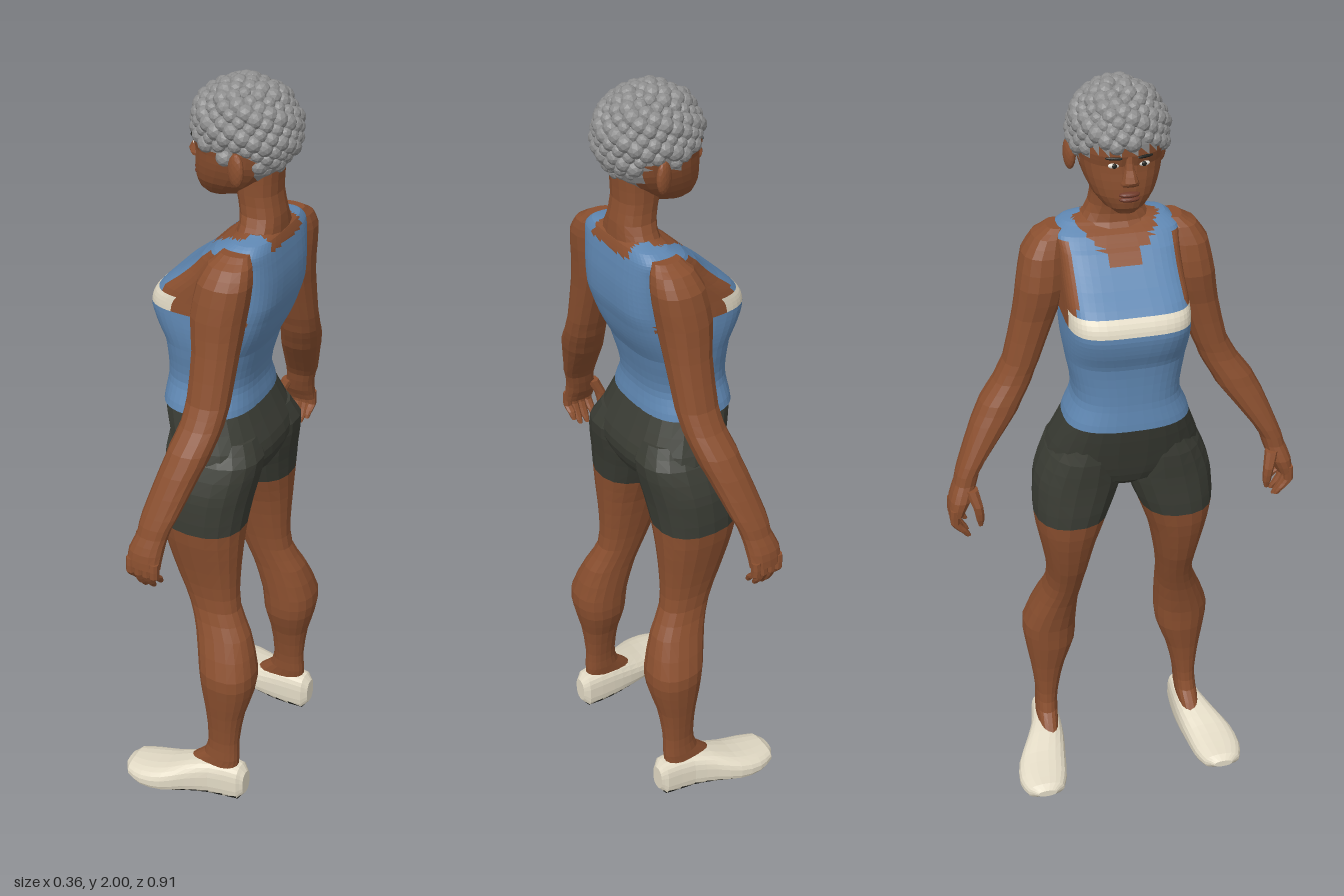
import * as THREE from 'three';
import { mergeGeometries } from 'three/addons/utils/BufferGeometryUtils.js';

const mat = (name, color) => {
  const m = new THREE.MeshStandardMaterial({ color });
  m.name = name;
  return m;
};
const skin = mat('skin', 0x8a4f2f), shirt = mat('blue shirt', 0x5f87b2), shorts = mat('dark shorts', 0x3a3c34);
const hair = mat('grey hair', 0x8e8e8e), cream = mat('cream', 0xe2dac5), sole = mat('black sole', 0x22231f);
const lip = mat('lips', 0x6f3a2a), white = mat('eye white', 0xe8e4dc);

const power = (v, p) => Math.sign(v) * Math.pow(Math.abs(v), 2 / p);

// Smooth in-between sections, passing through every given section.
function refine(rows, sub) {
  const out = [];
  for (let i = 0; i < rows.length - 1; i++) {
    const a = rows[Math.max(i - 1, 0)], b = rows[i], c = rows[i + 1], d = rows[Math.min(i + 2, rows.length - 1)];
    for (let k = 0; k < sub; k++) {
      const t = k / sub;
      out.push(b.map((v, j) => {
        if (j === 0) return v + (c[j] - v) * t;
        const quad = 2 * a[j] - 5 * v + 4 * c[j] - d[j];
        const cubic = 3 * v - a[j] - 3 * c[j] + d[j];
        return v + 0.5 * t * (c[j] - a[j] + t * (quad + t * cubic));
      }));
    }
  }
  out.push(rows[rows.length - 1]);
  return out;
}

// Faceted closed loft. Each section: [position, min, max, zMin, zMax, squareness].
// paint(x, y, |z|) picks the material of a face; along 'x' sections run heel to toe.
function loft(name, sections, { sides = 16, sub = 2, paint = () => skin, mirror = 1, axis = 'y' } = {}) {
  const rows = refine(sections.map(r => r.length < 6 ? [...r, 2.3] : r), sub);
  const place = (s, u, z) => axis === 'y' ? new THREE.Vector3(u, s, z * mirror) : new THREE.Vector3(s, u, z * mirror);
  const rings = rows.map(([s, u0, u1, z0, z1, p]) => Array.from({ length: sides }, (_, i) => {
    const t = (i + 0.5) / sides * Math.PI * 2;
    return place(s, (u0 + u1) / 2 + (u1 - u0) / 2 * power(Math.cos(t), p),
      (z0 + z1) / 2 + (z1 - z0) / 2 * power(Math.sin(t), p));
  }));
  const tris = [];
  for (let r = 0; r < rings.length - 1; r++) for (let i = 0; i < sides; i++) {
    const j = (i + 1) % sides, a = rings[r][i], b = rings[r][j], c = rings[r + 1][j], d = rings[r + 1][i];
    tris.push([a, b, c], [a, c, d]);
  }
  [0, rings.length - 1].forEach(e => {
    const [s, u0, u1, z0, z1] = rows[e], mid = place(s, (u0 + u1) / 2, (z0 + z1) / 2);
    for (let i = 0; i < sides; i++) {
      const a = rings[e][i], b = rings[e][(i + 1) % sides];
      tris.push(e ? [mid, a, b] : [mid, b, a]);
    }
  });
  // Turn all faces outward
  const cross = new THREE.Vector3();
  const volume = tris.reduce((v, [a, b, c]) => v + a.dot(cross.crossVectors(b, c)), 0);
  const buckets = new Map();
  for (const [a, b, c] of tris) {
    const m = paint((a.x + b.x + c.x) / 3, (a.y + b.y + c.y) / 3, Math.abs(a.z + b.z + c.z) / 3);
    if (!buckets.has(m)) buckets.set(m, []);
    buckets.get(m).push(...(volume > 0 ? [a, b, c] : [a, c, b]));
  }
  const g = new THREE.BufferGeometry().setFromPoints([...buckets.values()].flat());
  let start = 0, index = 0;
  for (const list of buckets.values()) {
    g.addGroup(start, list.length, index++);
    start += list.length;
  }
  g.computeVertexNormals();
  const mesh = new THREE.Mesh(g, [...buckets.keys()]);
  mesh.name = name;
  return mesh;
}

function ball(name, material, x, y, z, rx, ry, rz) {
  const g = new THREE.IcosahedronGeometry(1, 2);
  g.scale(rx, ry, rz);
  g.computeVertexNormals();
  const m = new THREE.Mesh(g, material);
  m.position.set(x, y, z);
  m.name = name;
  return m;
}

// Lowest height at which hair grows, from forehead to nape
const hairline = x => x < -0.04 ? 1.875 : x < 0.01 ? 1.85 : x < 0.045 ? 1.825 : x < 0.1 ? 1.855 : 1.785;

function paintTorso(x, y, z) {
  if (y > 1.45 && y < 1.49 && x < -0.075) return cream;                     // chest band
  if (y > 1.45 && y < 1.625 && z > 0.122 && x > -0.11 && x < 0.11) return skin; // armholes
  if (x < 0.09 && y > 1.56 && z < (y - 1.56) * 1.1) return skin;            // V neckline
  if (y > 1.625 && z < 0.075) return skin;                                  // nape
  return shirt;
}

export function createModel() {
  const model = new THREE.Group();
  model.name = 'standingWoman';

  // Torso and pelvis: width is symmetric about z = 0
  const sym = rows => rows.map(([y, x0, x1, w, p = 2.4]) => [y, x0, x1, -w, w, p]);
  model.add(loft('tankTop', sym([
    [1.18, -0.147, 0.092, 0.157, 2.7], [1.25, -0.14, 0.085, 0.132, 2.7], [1.35, -0.142, 0.107, 0.145, 2.9],
    [1.4, -0.16, 0.13, 0.15, 3.3], [1.45, -0.167, 0.145, 0.149, 4], [1.49, -0.145, 0.155, 0.147, 4.3],
    [1.55, -0.075, 0.157, 0.146, 4], [1.6, -0.025, 0.152, 0.146, 4], [1.63, 0.01, 0.147, 0.148, 3.6],
    [1.65, 0.045, 0.14, 0.125, 3], [1.66, 0.06, 0.13, 0.08, 2.5],
  ]), { sides: 44, sub: 4, paint: paintTorso }));
  model.add(loft('shortsHips', sym([
    [1.185, -0.145, 0.09, 0.154, 2.7], [1.1, -0.125, 0.13, 0.187, 2.5], [1.05, -0.112, 0.136, 0.19, 2.4],
    [1.0, -0.095, 0.115, 0.13, 2.3], [0.97, -0.06, 0.08, 0.06, 2.2],
  ]), { sides: 24, paint: () => shorts }));

  // Neck and head
  model.add(loft('neck', sym([
    [1.61, 0.0, 0.145, 0.11], [1.65, 0.035, 0.14, 0.085], [1.69, 0.035, 0.137, 0.062],
    [1.74, 0.025, 0.127, 0.058], [1.8, 0.02, 0.13, 0.06],
  ])));
  model.add(loft('head', sym([
    [1.713, -0.058, 0.0, 0.025], [1.73, -0.07, 0.045, 0.05], [1.76, -0.077, 0.09, 0.074],
    [1.8, -0.077, 0.13, 0.09], [1.835, -0.075, 0.145, 0.097], [1.86, -0.083, 0.15, 0.1],
    [1.91, -0.08, 0.15, 0.098], [1.95, -0.055, 0.13, 0.08], [1.98, 0, 0.09, 0.04],
  ]), { sides: 24, paint: (x, y) => y > hairline(x) ? hair : skin }));
  model.add(loft('nose', sym([
    [1.86, -0.083, -0.06, 0.009], [1.83, -0.091, -0.06, 0.011], [1.805, -0.106, -0.06, 0.018],
    [1.793, -0.096, -0.06, 0.022], [1.787, -0.08, -0.06, 0.014],
  ]), { sides: 10 }));
  for (const y of [1.757, 1.768]) model.add(ball('lips', lip, -0.076, y, 0, 0.012, 0.007, 0.025));

  // Hair: small clumps spread evenly over the scalp
  const clumps = [], count = 230;
  for (let i = 0; i < count; i++) {
    const h = 1 - 2 * (i + 0.5) / count, r = Math.sqrt(1 - h * h), t = i * 2.39996;
    const x = 0.04 + 0.116 * r * Math.cos(t), y = 1.882 + 0.1 * h, z = 0.103 * r * Math.sin(t);
    if (y < hairline(x) + 0.006) continue;
    const g = new THREE.IcosahedronGeometry(0.019 + 0.003 * Math.sin(i * 7.3), 1);
    g.rotateY(i).translate(x, y, z);
    clumps.push(g);
  }
  const curls = mergeGeometries(clumps);
  curls.computeVertexNormals();
  const hairMesh = new THREE.Mesh(curls, hair);
  hairMesh.name = 'curlyHair';
  model.add(hairMesh);

  for (const s of [1, -1]) {
    const side = new THREE.Group();
    side.name = s > 0 ? 'leftHalf' : 'rightHalf';
    model.add(side);

    // Face details
    side.add(ball('eye', white, -0.07, 1.838, s * 0.034, 0.006, 0.007, 0.014));
    side.add(ball('pupil', sole, -0.074, 1.838, s * 0.034, 0.004, 0.006, 0.006));
    const brow = ball('eyebrow', sole, -0.077, 1.857, s * 0.036, 0.005, 0.004, 0.02);
    brow.rotation.y = s * 0.3;
    const ear = ball('ear', skin, 0.068, 1.82, s * 0.108, 0.022, 0.04, 0.013);
    ear.rotation.y = -s * 0.3;
    side.add(brow, ear);

    // Arm down to the palm
    side.add(loft('arm', [
      [1.64, 0.05, 0.12, 0.12, 0.165], [1.62, 0.03, 0.133, 0.12, 0.2], [1.58, 0.012, 0.14, 0.12, 0.228],
      [1.5, 0.0, 0.132, 0.125, 0.245], [1.42, 0.012, 0.125, 0.15, 0.257], [1.3, 0.015, 0.12, 0.195, 0.285],
      [1.25, 0.012, 0.115, 0.215, 0.312], [1.2, 0.0, 0.105, 0.243, 0.35], [1.15, -0.01, 0.09, 0.275, 0.376],
      [1.05, -0.03, 0.06, 0.352, 0.417], [1.0, -0.035, 0.043, 0.375, 0.433], [0.96, -0.05, 0.038, 0.39, 0.449],
      [0.92, -0.05, 0.036, 0.412, 0.453],
    ], { sides: 14, mirror: s }));
    // Fingers and thumb
    [-0.038, -0.017, 0.005, 0.025].forEach((x, i) => {
      const tip = [0.858, 0.845, 0.848, 0.868][i];
      side.add(loft('finger', [
        [0.94, x - 0.012, x + 0.012, 0.424, 0.45], [0.9, x - 0.012, x + 0.012, 0.428, 0.452],
        [tip + 0.02, x - 0.011, x + 0.011, 0.412, 0.434], [tip, x - 0.006, x + 0.006, 0.402, 0.416],
      ], { sides: 8, mirror: s }));
    });
    side.add(loft('thumb', [
      [0.99, -0.045, -0.01, 0.376, 0.41], [0.95, -0.06, -0.03, 0.368, 0.395],
      [0.91, -0.058, -0.036, 0.367, 0.388], [0.89, -0.052, -0.042, 0.372, 0.383],
    ], { sides: 8, mirror: s }));

    // Leg with the hem of the shorts at 0.88
    side.add(loft('leg', [
      [1.12, -0.11, 0.115, 0.015, 0.165], [1.07, -0.115, 0.137, 0.005, 0.197], [1.0, -0.11, 0.127, 0.0, 0.225],
      [0.95, -0.11, 0.118, 0.015, 0.232], [0.88, -0.11, 0.11, 0.042, 0.234], [0.8, -0.096, 0.105, 0.07, 0.221],
      [0.7, -0.066, 0.1, 0.092, 0.203], [0.62, -0.033, 0.105, 0.105, 0.2], [0.55, -0.008, 0.14, 0.112, 0.222],
      [0.45, 0.015, 0.168, 0.115, 0.26], [0.38, 0.022, 0.163, 0.12, 0.257], [0.3, 0.035, 0.142, 0.148, 0.245],
      [0.2, 0.042, 0.13, 0.17, 0.234], [0.14, 0.03, 0.132, 0.175, 0.236], [0.09, -0.02, 0.13, 0.18, 0.238],
    ], { sides: 18, mirror: s, paint: (x, y) => y > 0.88 ? shorts : skin }));

    // Shoe, heel to toe, toes turned slightly out
    side.add(loft('shoe', [
      [0.156, 0.025, 0.1, 0.185, 0.228, 2.5], [0.14, 0.003, 0.118, 0.172, 0.24, 3], [0.06, 0, 0.118, 0.168, 0.255, 3],
      [0, 0.002, 0.106, 0.17, 0.282, 2.8], [-0.06, 0.002, 0.086, 0.178, 0.312, 2.7],
      [-0.12, 0.005, 0.072, 0.187, 0.32, 2.6], [-0.165, 0.016, 0.064, 0.203, 0.306, 2.4],
      [-0.182, 0.032, 0.052, 0.228, 0.28, 2.2],
    ], { sides: 20, mirror: s, axis: 'x', paint: (x, y) => y < 0.018 ? sole : cream }));
  }
  return model;
}
